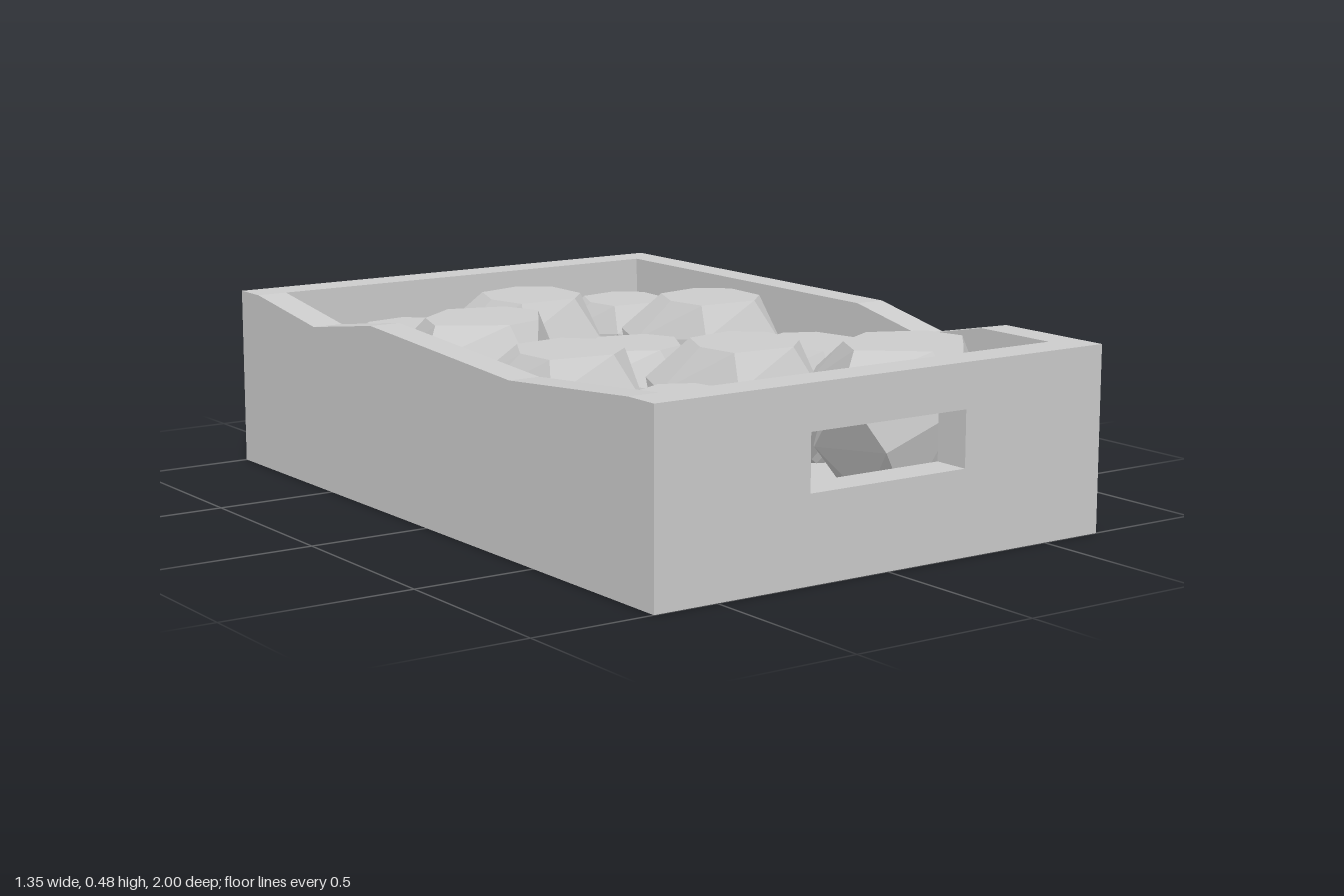
import * as THREE from 'three';
import { ConvexGeometry } from 'three/addons/geometries/ConvexGeometry.js';

const W = 0.675, D = 1, H = 0.48, FLOOR = 0.09;
const SIDE = 0.085, END = 0.1;

export function createModel() {
  const model = new THREE.Group();
  const material = new THREE.MeshStandardMaterial({ color: 0xcccccc, flatShading: true });

  const add = (name, geometry, parent = model) => {
    const mesh = new THREE.Mesh(geometry, material);
    mesh.name = name;
    parent.add(mesh);
    return mesh;
  };
  const polygon = (points) => new THREE.Shape(points.map(([x, y]) => new THREE.Vector2(x, y)));
  const extrude = (shape, depth) => new THREE.ExtrudeGeometry(shape, { depth, bevelEnabled: false });

  // Crate floor
  add('crateFloor', new THREE.BoxGeometry(2 * (W - SIDE), FLOOR, 2 * (D - END))).position.y = FLOOR / 2;

  // End walls with handle slots
  const endShape = polygon([[-W, 0], [W, 0], [W, H], [-W, H]]);
  endShape.holes.push(polygon([[-0.235, 0.22], [-0.235, 0.365], [0.235, 0.365], [0.235, 0.22]]));
  const endGeometry = extrude(endShape, END);
  add('frontWall', endGeometry).position.z = D - END;
  add('backWall', endGeometry).position.z = -D;

  // Side walls with worn, dipping top edges, given as [z, y]
  const addSide = (name, x, dips) => {
    const e = D - END;
    const shape = polygon([[-e, 0], [e, 0], [e, H], ...dips, [-e, H]]);
    add(name, extrude(shape, SIDE).rotateY(-Math.PI / 2)).position.x = x;
  };
  addSide('leftWall', W, [[0.65, H], [0.4, 0.43], [0.15, H]]);
  addSide('rightWall', -W + SIDE, [[0.4, 0.44], [-0.27, H], [-0.58, 0.435]]);

  // Faceted lump: flat top, wide shoulder, lower belly and flat base
  const crown = [[-0.6, 0.1], [-0.35, -0.55], [0.34, -0.73], [0.74, -0.42], [0.74, 0.3], [0.4, 0.68], [-0.47, 0.68]];
  const shoulder = [[-1, -0.2], [-0.92, -0.68], [0.26, -1], [0.71, -0.84], [0.97, -0.16], [0.71, 0.95], [-0.58, 0.97]];
  const ring = (outline, y, scale, turn = 0, wobble = 0) => outline.map(([x, z], i) =>
    new THREE.Vector3(x * scale, y + wobble * Math.sin(i * 2.4), z * scale)
      .applyAxisAngle(new THREE.Vector3(0, 1, 0), turn));
  const lumpGeometry = new ConvexGeometry([
    ...ring(crown, 0.95, 1),
    ...ring(shoulder, 0.38, 1, 0, 0.15),
    ...ring(shoulder, -0.35, 0.92, 0.45, 0.12),
    ...ring(crown, -0.95, 0.9, 0.8),
  ]);

  // Contents: [x, z, radius, top height, clockwise turn in degrees]
  const contents = new THREE.Group();
  contents.name = 'contents';
  model.add(contents);
  [
    [-0.36, -0.66, 0.17, 0.4, 5], [0, -0.6, 0.2, 0.46, 0], [0.36, -0.66, 0.172, 0.41, 4],
    [-0.37, -0.25, 0.22, 0.48, 32], [0.395, -0.29, 0.2, 0.46, 3], [-0.015, -0.07, 0.185, 0.4, 28],
    [-0.395, 0.195, 0.2, 0.46, 8], [0.39, 0.185, 0.185, 0.4, -13], [-0.01, 0.41, 0.2, 0.47, 4],
    [-0.355, 0.65, 0.182, 0.41, -11], [0.31, 0.65, 0.222, 0.475, 40],
  ].forEach(([x, z, radius, top, turn], i) => {
    const lump = add(`lump${i + 1}`, lumpGeometry, contents);
    const halfHeight = (top - FLOOR) / 2;
    lump.scale.set(radius, halfHeight / 0.95, radius);
    lump.position.set(x, FLOOR + halfHeight, z);
    lump.rotation.y = -THREE.MathUtils.degToRad(turn);
  });

  return model;
}
